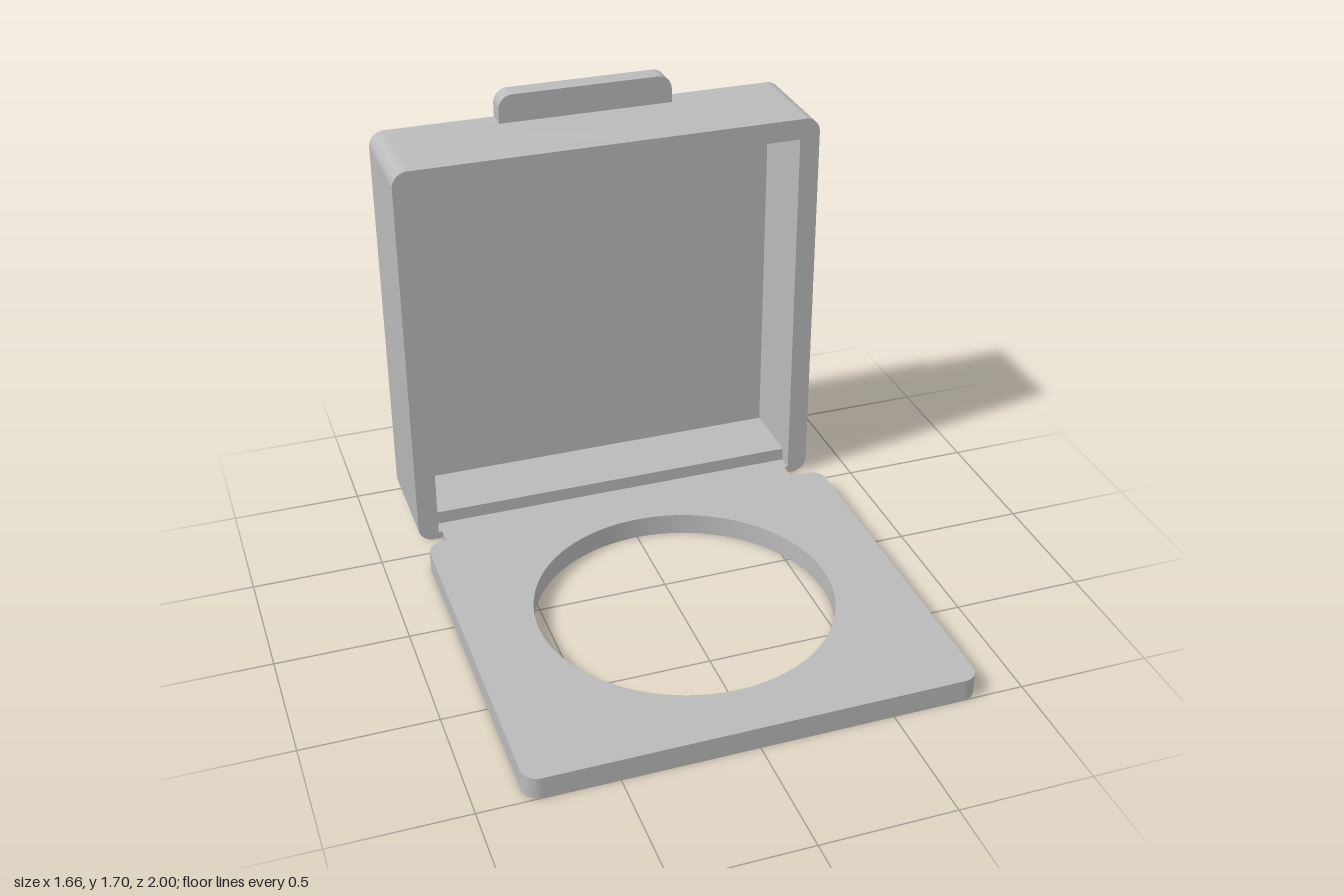
import * as THREE from 'three';
import { toCreasedNormals } from 'three/addons/utils/BufferGeometryUtils.js';

// Rectangle outline with separate corner radii for the bottom and the top
function roundedRect(Type, x0, y0, x1, y1, rBottom, rTop) {
  const s = new Type();
  s.moveTo(x0 + rBottom, y0);
  s.lineTo(x1 - rBottom, y0);
  if (rBottom) s.absarc(x1 - rBottom, y0 + rBottom, rBottom, -Math.PI / 2, 0, false);
  s.lineTo(x1, y1 - rTop);
  if (rTop) s.absarc(x1 - rTop, y1 - rTop, rTop, 0, Math.PI / 2, false);
  s.lineTo(x0 + rTop, y1);
  if (rTop) s.absarc(x0 + rTop, y1 - rTop, rTop, Math.PI / 2, Math.PI, false);
  s.lineTo(x0, y0 + rBottom);
  if (rBottom) s.absarc(x0 + rBottom, y0 + rBottom, rBottom, Math.PI, Math.PI * 1.5, false);
  return s;
}

function extrude(shape, depth, curveSegments = 10) {
  return new THREE.ExtrudeGeometry(shape, { depth, curveSegments, bevelEnabled: false });
}

export function createModel() {
  const model = new THREE.Group();
  model.name = 'hingedCase';
  const grey = new THREE.MeshStandardMaterial({ color: 0xbababa });
  grey.name = 'grey plastic';

  function add(name, geometry, parent = model) {
    const mesh = new THREE.Mesh(toCreasedNormals(geometry, 0.6), grey);
    mesh.name = name;
    parent.add(mesh);
    return mesh;
  }

  // Upright tray: back wall, walls around the cavity, and a front rim cut lower for the hinge
  const tray = new THREE.Group();
  tray.name = 'tray';
  model.add(tray);
  const layers = [
    ['backWall', -1, -0.92, null],
    ['sideWalls', -0.92, -0.65, 0.083],
    ['frontRim', -0.65, -0.59, 0.03],
  ];
  for (const [name, z0, z1, floor] of layers) {
    const outline = roundedRect(THREE.Shape, -0.83, 0, 0.83, 1.587, 0.06, 0.06);
    if (floor !== null) {
      outline.holes.push(roundedRect(THREE.Path, -0.75, floor, 0.75, 1.505, 0, 0));
    }
    add(name, extrude(outline, z1 - z0), tray).position.z = z0;
  }

  // Tab on the tray's top edge
  const tab = roundedRect(THREE.Shape, -0.345, 1.587, 0.345, 1.698, 0, 0.055);
  add('latchTab', extrude(tab, 0.08)).position.z = -1;

  // Thin hinge strip joining tray and lid
  const strip = add('hingeStrip', new THREE.BoxGeometry(1.47, 0.03, 0.15));
  strip.position.set(0, 0.015, -0.515);

  // Flat lid with a round window; shape y runs towards -z
  const lid = roundedRect(THREE.Shape, -0.83, -1, 0.83, 0.44, 0.06, 0.06);
  const windowHole = new THREE.Path();
  windowHole.absarc(0, -0.222, 0.562, 0, Math.PI * 2, true);
  lid.holes.push(windowHole);
  add('lid', extrude(lid, 0.085, 48).rotateX(-Math.PI / 2));

  return model;
}
